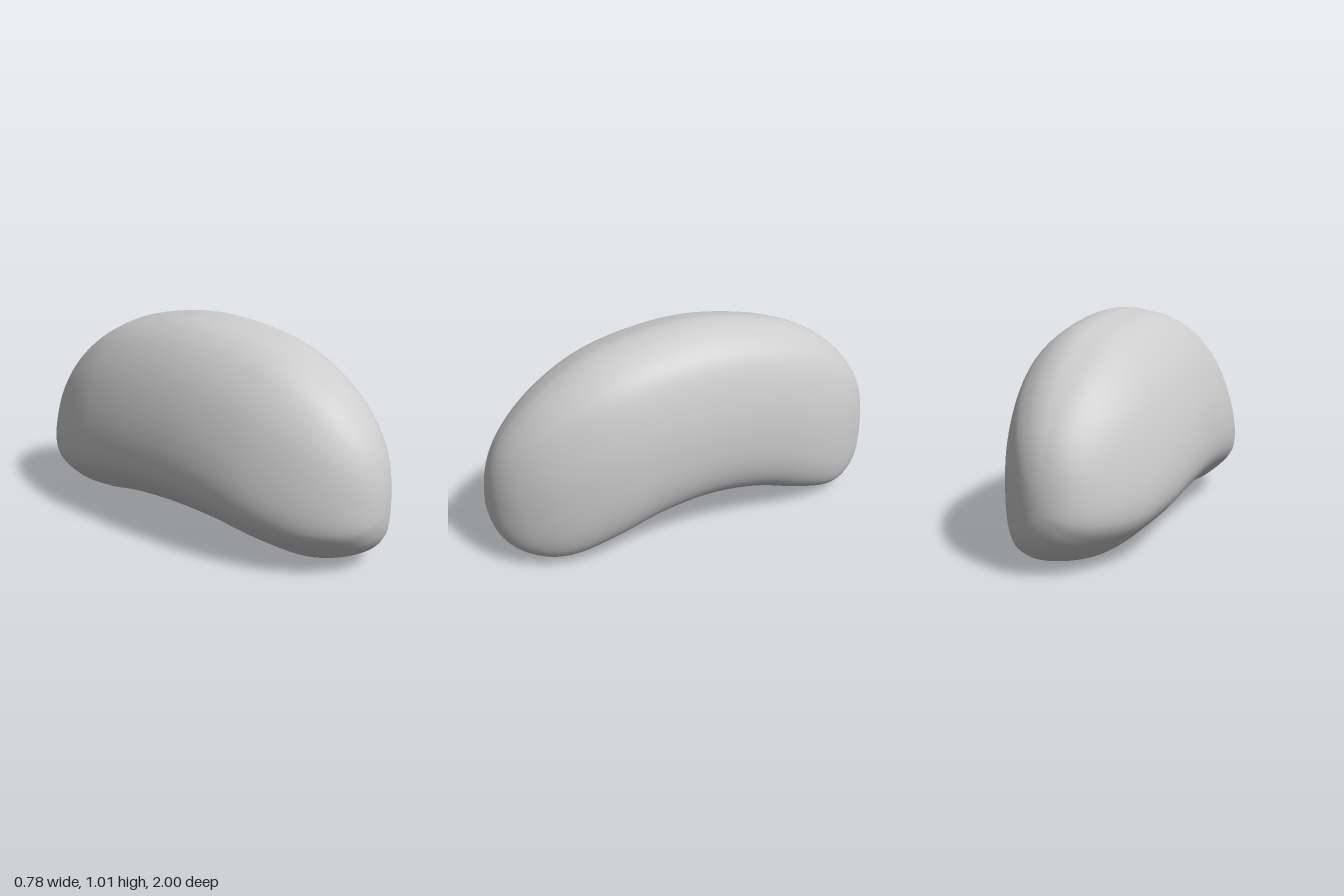
import * as THREE from 'three';
import { mergeVertices } from 'three/addons/utils/BufferGeometryUtils.js';

// Cross-section, counter-clockwise: x in -1..1, then the height 0..1
// near the ends and in the middle, where the underside tilts
const SECTION = [
  [0.25, 0, 0.025], [0.6, 0.015, 0.08], [0.87, 0.085, 0.17], [0.975, 0.21, 0.29],
  [1, 0.43, 0.46], [0.955, 0.64, 0.63], [0.79, 0.85, 0.85], [0.52, 0.96, 0.96],
  [0.25, 1, 1], [0, 0.99, 0.988], [-0.26, 0.955, 0.955], [-0.51, 0.875, 0.875],
  [-0.77, 0.72, 0.715], [-0.95, 0.5, 0.5], [-1, 0.36, 0.33], [-0.96, 0.27, 0.22],
  [-0.69, 0.15, 0.085], [-0.32, 0.055, 0],
];

// Extents every 15 degrees from the middle to the tip: bottom, top, left, right
const STATIONS = [
  [0.10, 1.01, -0.39, 0.39], [0.08, 0.985, -0.385, 0.388], [0.025, 0.922, -0.36, 0.372],
  [-0.005, 0.808, -0.3, 0.322], [0.04, 0.66, -0.212, 0.24], [0.13, 0.49, -0.108, 0.135],
  [0.27, 0.27, 0.012, 0.012],
];

const RINGS = 96;
const SIDES = 96;

// Evenly spaced points on the closed outline given by one height column
function sampleOutline(column) {
  const curve = new THREE.CatmullRomCurve3(
    SECTION.map((s) => new THREE.Vector3(s[0], s[column], 0)), true, 'centripetal');
  return Array.from({ length: SIDES }, (_, j) => curve.getPoint(j / SIDES));
}

function createBeanGeometry() {
  // Mirror the stations so both ends match
  const stations = [...STATIONS.slice(1).reverse(), ...STATIONS];
  const spline = (a, b) => new THREE.CatmullRomCurve3(
    stations.map((s) => new THREE.Vector3(s[a], s[b], 0)), false, 'catmullrom', 0.5);
  const heights = spline(0, 1);
  const widths = spline(2, 3);
  const endOutline = sampleOutline(1);
  const middleOutline = sampleOutline(2);

  const positions = [];
  const indices = [];
  const p = new THREE.Vector3();
  for (let i = 0; i <= RINGS; i++) {
    const u = i / RINGS;
    const { x: bottom, y: top } = heights.getPoint(u);
    const { x: left, y: right } = widths.getPoint(u);
    const z = Math.sin((u - 0.5) * Math.PI);
    const middleness = (1 - z * z) ** 2;
    for (let j = 0; j < SIDES; j++) {
      p.lerpVectors(endOutline[j], middleOutline[j], middleness);
      positions.push(
        (left + right) / 2 + p.x * (right - left) / 2,
        bottom + p.y * (top - bottom),
        z);
    }
  }
  for (let i = 0; i < RINGS; i++) {
    for (let j = 0; j < SIDES; j++) {
      const a = i * SIDES + j;
      const b = i * SIDES + (j + 1) % SIDES;
      if (i > 0) indices.push(a, b, a + SIDES);
      if (i < RINGS - 1) indices.push(b, b + SIDES, a + SIDES);
    }
  }
  let geometry = new THREE.BufferGeometry();
  geometry.setAttribute('position', new THREE.Float32BufferAttribute(positions, 3));
  geometry.setIndex(indices);
  // Weld the tips so they shade smoothly
  geometry = mergeVertices(geometry, 1e-5);
  geometry.computeVertexNormals();
  return geometry;
}

export function createModel() {
  const group = new THREE.Group();
  group.name = 'bean';
  const body = new THREE.Mesh(
    createBeanGeometry(), new THREE.MeshStandardMaterial({ color: 0xcccccc }));
  body.name = 'beanBody';
  group.add(body);
  return group;
}
